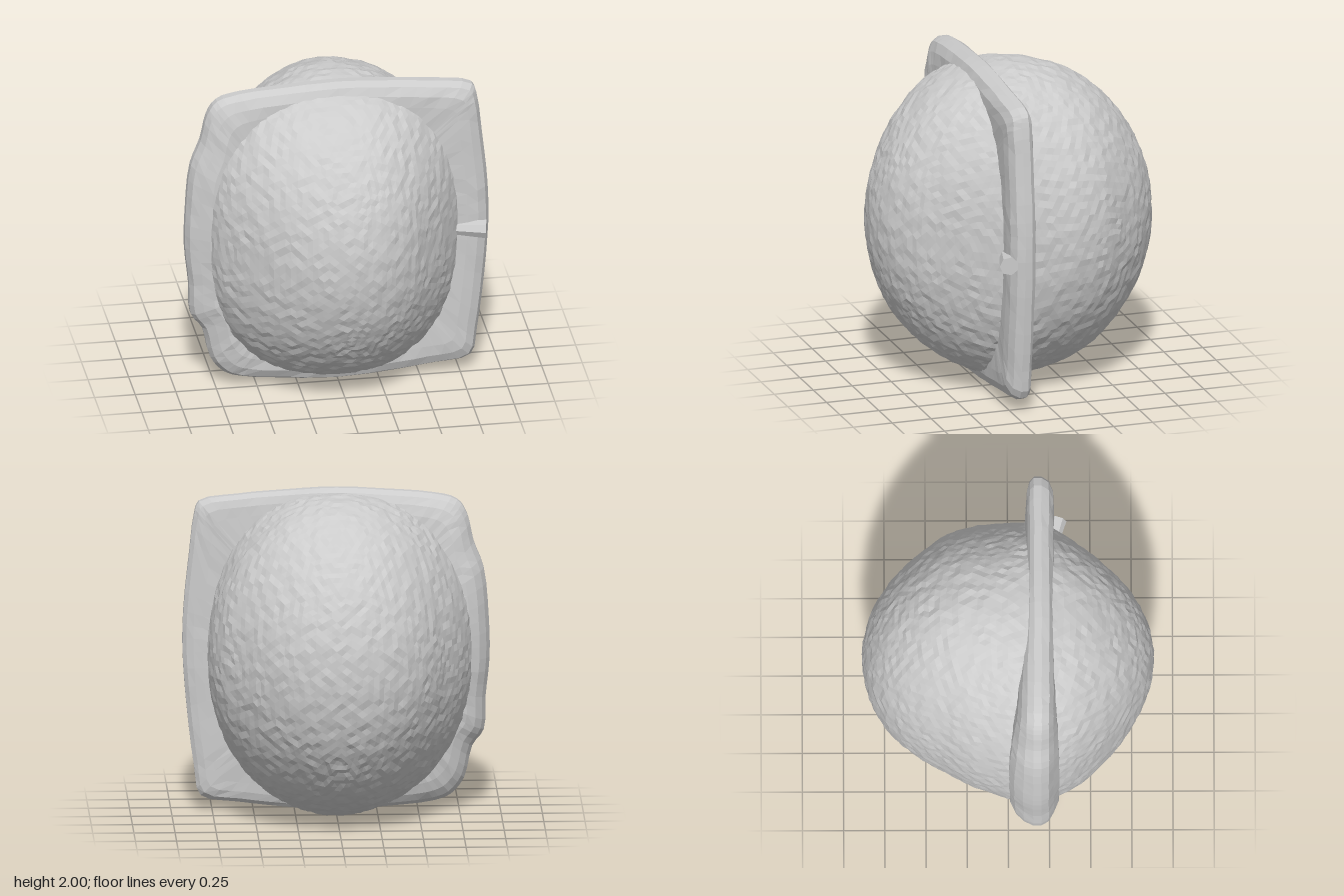
import * as THREE from 'three';
import { mergeVertices } from 'three/addons/utils/BufferGeometryUtils.js';

const { smoothstep, lerp } = THREE.MathUtils;
const material = new THREE.MeshStandardMaterial({ color: 0xcccccc, flatShading: true, side: THREE.DoubleSide });

let seed = 7;
const jitter = (a) => {
  seed = (seed * 16807) % 2147483647;
  return (seed / 2147483647 - 0.5) * 2 * a;
};

function facetedMesh(indexed, name) {
  const geometry = indexed.toNonIndexed();
  geometry.computeVertexNormals();
  const mesh = new THREE.Mesh(geometry, material);
  mesh.name = name;
  return mesh;
}

// Ball fullness along z: [z, towards -x, towards +x]
const FULLNESS = [
  [-0.89, 0.77, 0.76], [-0.75, 0.75, 0.75], [-0.6, 0.73, 0.76], [-0.4, 0.73, 0.8],
  [-0.2, 0.78, 0.8], [0, 0.82, 0.78], [0.27, 0.845, 0.77], [0.4, 0.84, 0.73],
  [0.6, 0.79, 0.68], [0.8, 0.73, 0.68], [0.89, 0.73, 0.68],
];

function fullness(z, side) {
  const k = Math.max(1, FULLNESS.findIndex((row) => row[0] >= z));
  const [a, b] = [FULLNESS[k - 1], FULLNESS[k]];
  return lerp(a[side], b[side], (z - a[0]) / (b[0] - a[0]));
}

// Ball with rough, evenly spread facets: round behind, slightly squared in front
function makeBall() {
  const sphere = new THREE.IcosahedronGeometry(1, 24);
  sphere.deleteAttribute('normal');
  sphere.deleteAttribute('uv');
  const geometry = mergeVertices(sphere);
  const p = geometry.attributes.position;
  for (let i = 0; i < p.count; i++) {
    const z = p.getZ(i) * 0.885;
    const s = Math.hypot(p.getX(i), p.getY(i));
    const t = Math.atan2(p.getY(i), p.getX(i));
    const c = Math.cos(t), d = Math.sin(t);
    const power = 2 / (2 + 0.4 * s * smoothstep(z, -0.15, 0.25));
    const rough = 1 + jitter(0.006);
    p.setXYZ(
      i,
      Math.sign(c) * Math.abs(c) ** power * s * fullness(z, c < 0 ? 1 : 2) * rough,
      1 + Math.sign(d) * Math.abs(d) ** power * s * 0.98 * rough,
      z * rough
    );
  }
  return facetedMesh(geometry, 'ball');
}

// Squarish flange around the ball, with a wedge-shaped rim and a thicker -x side
function makeFlange() {
  const corners = [
    [0.93, 1], [0.925, 1.25], [0.89, 1.6], [0.86, 1.84], [0.83, 1.92], [0.6, 1.96], [0.3, 1.985],
    [0, 2], [-0.3, 1.985], [-0.6, 1.96], [-0.74, 1.92], [-0.8, 1.83], [-0.84, 1.66], [-0.9, 1.5],
    [-0.93, 1.2], [-0.935, 0.95], [-0.91, 0.7], [-0.9, 0.5], [-0.83, 0.4], [-0.78, 0.2], [-0.7, 0.1],
    [-0.6, 0.06], [-0.3, 0.025], [0, 0.005], [0.3, 0.025], [0.6, 0.06], [0.82, 0.1], [0.86, 0.28],
    [0.905, 0.65],
  ];
  const outline = new THREE.CatmullRomCurve3(corners.map(([x, y]) => new THREE.Vector3(x, y, 0)), true)
    .getPoints(87).slice(0, -1);
  // Back root, over the rim, to the front root: [scale, z on the +x side, z on the -x side]
  const profile = [
    [0.7, 0.1, -0.03], [0.87, 0.115, 0], [0.93, 0.12, 0.035], [0.975, 0.135, 0.09], [1, 0.16, 0.15],
    [1, 0.205, 0.2], [0.975, 0.25, 0.245], [0.92, 0.275, 0.275], [0.85, 0.28, 0.31], [0.7, 0.275, 0.31],
  ];
  const n = outline.length;
  const points = [], index = [];
  profile.forEach(([scale, zThin, zThick], i) => {
    outline.forEach(({ x, y }, j) => {
      const middle = 1 - 0.6 * Math.min(1, Math.abs(y - 1)) ** 2;
      const thick = (i < 5 ? smoothstep(-x, -0.35, 0.7) : smoothstep(-x, 0.45, 0.85)) * middle;
      points.push(new THREE.Vector3(x * scale, 1 + (y - 1) * scale, lerp(zThin, zThick, thick) + jitter(0.003)));
      if (i === profile.length - 1) return;
      const a = i * n + j, b = i * n + (j + 1) % n;
      index.push(a, b, b + n, a, b + n, a + n);
    });
  });
  const geometry = new THREE.BufferGeometry().setFromPoints(points);
  geometry.setIndex(index);
  return facetedMesh(geometry, 'flange');
}

// Small tapered clasp lying across the flange's +x side
function makeClasp() {
  const clasp = new THREE.Mesh(new THREE.CylinderGeometry(0.058, 0.04, 0.19, 7), material);
  clasp.name = 'clasp';
  clasp.rotation.set(0, -0.22, -Math.PI / 2, 'YXZ');
  clasp.position.set(0.81, 0.98, 0.28);
  return clasp;
}

export function createModel() {
  const group = new THREE.Group();
  group.name = 'flangedBall';
  group.add(makeBall(), makeFlange(), makeClasp());
  return group;
}
